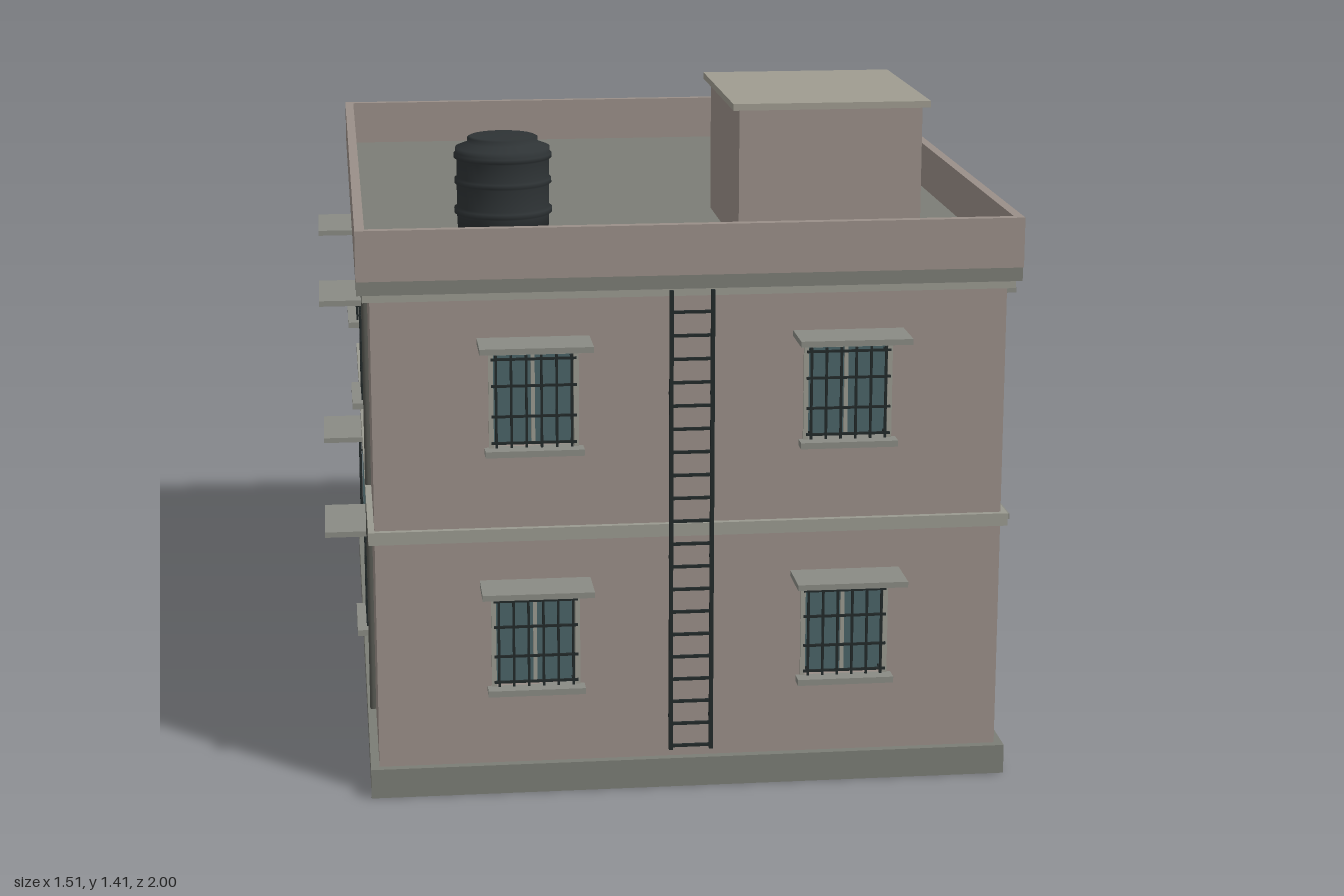
import * as THREE from 'three';

const mat = (color) => new THREE.MeshStandardMaterial({ color });
const M = {
  wall: mat(0x9a8f88), plinth: mat(0x7b7d75), slab: mat(0x8a8b84), trim: mat(0x9a9a90),
  cap: mat(0x9f9c90), roof: mat(0x7c7d76), glass: mat(0x4a6468), iron: mat(0x22292a),
  door: mat(0x6b4a30), pot: mat(0x7a5a44), tank: mat(0x2e3335), pipe: mat(0x555650),
};

const FRONT = 0.895, BACK = -0.8, SIDE = 0.655, MIDZ = (FRONT + BACK) / 2;
const STOREY = 0.515, WX = 0.325;

function add(parent, name, geo, material, x = 0, y = 0, z = 0) {
  const m = new THREE.Mesh(geo, material);
  m.name = name;
  m.position.set(x, y, z);
  parent.add(m);
  return m;
}

// box given by its limits on each axis
function box(parent, name, material, x0, x1, y0, y1, z0, z1) {
  return add(parent, name, new THREE.BoxGeometry(x1 - x0, y1 - y0, z1 - z0), material,
    (x0 + x1) / 2, (y0 + y1) / 2, (z0 + z1) / 2);
}

// upright cylinder between two heights
function rod(parent, name, material, r, x, z, y0, y1) {
  return add(parent, name, new THREE.CylinderGeometry(r, r, y1 - y0, 8), material, x, (y0 + y1) / 2, z);
}

// wall panel with rectangular openings [x centre, width, bottom, top]
function wallPanel(parent, name, z0, openings) {
  const rect = (P, x0, x1, y0, y1) => {
    const p = new P();
    p.moveTo(x0, y0).lineTo(x1, y0).lineTo(x1, y1).lineTo(x0, y1).closePath();
    return p;
  };
  const shape = rect(THREE.Shape, -SIDE, SIDE, 0.02, 1.07);
  for (const [x, w, y0, y1] of openings) shape.holes.push(rect(THREE.Path, x - w / 2, x + w / 2, y0, y1));
  add(parent, name, new THREE.ExtrudeGeometry(shape, { depth: 0.04, bevelEnabled: false }), M.wall, 0, 0, z0);
}

// window facing +z, wall surface at z = 0, y = 0 at the opening's bottom
function makeWindow(o) {
  const { w, h, canopyW, canopyD, canopyY, cols, recessed } = o;
  const g = new THREE.Group();
  g.name = 'window';
  const a = w / 2;
  if (recessed) box(g, 'glass', M.glass, -a, a, 0, h, -0.035, -0.022);
  else box(g, 'glassEdge', M.glass, -0.004, 0.004, 0.01, h - 0.01, -0.01, 0.009);
  if (recessed) {
    for (const s of [-1, 1]) box(g, 'frameSide', M.trim, s * a - 0.005, s * a + 0.005, 0, h, -0.03, 0.006);
    box(g, 'mullion', M.trim, -0.004, 0.004, 0, h, -0.024, -0.016);
  }
  box(g, 'frameTop', M.trim, -a - 0.01, a + 0.01, h - 0.004, h + 0.008, -0.02, 0.01);
  box(g, 'sill', M.slab, -a - 0.014, a + 0.014, -0.013, 0, -0.02, 0.036);
  box(g, 'canopy', M.slab, -canopyW / 2, canopyW / 2, canopyY, canopyY + 0.012, -0.01, canopyD);
  // grille
  for (let i = 0; i < cols; i++) {
    const x = -a + 0.01 + (w - 0.02) * i / (cols - 1);
    box(g, 'grilleBar', M.iron, x - 0.0025, x + 0.0025, 0.002, h - 0.004, 0.011, 0.016);
  }
  for (const t of [0.06, 0.34, 0.66, 0.94]) {
    box(g, 'grilleCrossbar', M.iron, -a, a, t * h - 0.0025, t * h + 0.0025, 0.011, 0.016);
  }
  for (const sx of [-1, 1]) for (const t of [0.06, 0.94]) {
    const x = sx * (a - 0.01);
    box(g, 'grilleAnchor', M.iron, x - 0.002, x + 0.002, t * h - 0.002, t * h + 0.002, -0.01, 0.012);
  }
  return g;
}

export function createModel() {
  const model = new THREE.Group();
  model.name = 'house';

  // body
  const body = new THREE.Group();
  body.name = 'body';
  model.add(body);
  const frontOpen = [], backOpen = [];
  for (const f of [0, 1]) {
    for (const s of [-1, 1]) {
      frontOpen.push([s * WX, 0.175, 0.233 + f * STOREY, 0.433 + f * STOREY]);
      if (f || s < 0) backOpen.push([s * WX, 0.22, 0.235 + f * STOREY, 0.445 + f * STOREY]);
    }
  }
  wallPanel(body, 'frontWall', FRONT - 0.04, frontOpen);
  wallPanel(body, 'backWall', BACK, [...backOpen, [WX, 0.16, 0.07, 0.425]]);
  box(body, 'core', M.wall, -SIDE, SIDE, 0.02, 1.07, BACK + 0.04, FRONT - 0.04);
  const band = (name, m, y0, y1, o) => box(body, name, m, -SIDE - o, SIDE + o, y0, y1, BACK - o, FRONT + o);
  band('plinth', M.plinth, 0, 0.063, 0.018);
  band('floorBand', M.trim, 0.55, 0.577, 0.013);
  band('cornice', M.trim, 1.06, 1.077, 0.015);
  band('roofSlab', M.roof, 1.077, 1.108, 0.026);

  // parapet
  const px = 0.682, z0 = -0.83, z1 = 0.925, t = 0.02;
  for (const s of [-1, 1]) {
    const x = s * (px - t / 2);
    box(model, 'parapetSide', M.wall, x - t / 2, x + t / 2, 1.106, 1.21, z0, z1);
  }
  box(model, 'parapetFront', M.wall, -px + t, px - t, 1.106, 1.21, z1 - t, z1);
  box(model, 'parapetBack', M.wall, -px + t, px - t, 1.106, 1.21, z0, z0 + t);

  // windows
  const place = (opts, x, y, z, ry) => {
    const g = makeWindow(opts);
    g.position.set(x, y, z);
    g.rotation.y = ry;
    model.add(g);
  };
  const frontWin = { w: 0.175, h: 0.2, canopyW: 0.23, canopyD: 0.105, canopyY: 0.219, cols: 6, recessed: true };
  const backWin = { w: 0.22, h: 0.21, canopyW: 0.275, canopyD: 0.107, canopyY: 0.232, cols: 7, recessed: true };
  const sideWin = { w: 0.165, h: 0.2, canopyW: 0.215, canopyD: 0.102, canopyY: 0.218, cols: 6, recessed: false };
  for (const f of [0, 1]) {
    const dy = f * STOREY;
    for (const s of [-1, 1]) {
      place(frontWin, s * WX, 0.233 + dy, FRONT, 0);
      if (f || s < 0) place(backWin, s * WX, 0.235 + dy, BACK, Math.PI);
      for (const z of [0.44, -0.355]) place(sideWin, s * SIDE, 0.24 + dy, z + s * 0.01, s * Math.PI / 2);
    }
  }

  // back door
  const door = new THREE.Group();
  door.name = 'door';
  model.add(door);
  box(door, 'doorLeaf', M.door, WX - 0.08, WX + 0.08, 0.063, 0.425, BACK + 0.015, BACK + 0.035);
  for (const s of [-1, 1]) {
    box(door, 'doorFrame', M.trim, WX + s * 0.083 - 0.007, WX + s * 0.083 + 0.007, 0.06, 0.432, BACK - 0.008, BACK + 0.03);
  }
  box(door, 'doorHead', M.trim, WX - 0.09, WX + 0.09, 0.42, 0.432, BACK - 0.008, BACK + 0.03);
  box(door, 'doorStep', M.slab, WX - 0.1, WX + 0.1, 0.045, 0.064, -0.842, BACK + 0.02);
  box(door, 'doorCanopy', M.slab, WX - 0.137, WX + 0.137, 0.443, 0.455, -0.907, BACK + 0.01);
  add(door, 'doorKnob', new THREE.SphereGeometry(0.007, 10, 8), M.iron, WX - 0.06, 0.24, BACK + 0.011);
  box(model, 'meterBox', M.slab, 0.435, 0.49, 0.215, 0.288, -0.826, BACK);

  // air conditioner
  const ac = new THREE.Group();
  ac.name = 'airConditioner';
  model.add(ac);
  box(ac, 'acCase', M.cap, WX - 0.068, WX + 0.068, 0.645, 0.725, -0.862, BACK - 0.012);
  const fan = add(ac, 'acFan', new THREE.CylinderGeometry(0.028, 0.028, 0.004, 20), M.iron, WX + 0.02, 0.685, -0.863);
  fan.rotation.x = Math.PI / 2;
  for (const s of [-1, 1]) {
    box(ac, 'acBracket', M.iron, WX + s * 0.05 - 0.004, WX + s * 0.05 + 0.004, 0.636, 0.645, -0.858, BACK);
  }

  // balcony
  const balcony = new THREE.Group();
  balcony.name = 'balcony';
  model.add(balcony);
  const bx0 = -0.54, bx1 = -0.115, bz = -0.983, r = 0.004;
  box(balcony, 'balconySlab', M.cap, -0.56, -0.1, 0.572, 0.595, -1, BACK);
  box(balcony, 'railFront', M.iron, bx0 - r, bx1 + r, 0.759, 0.768, bz - r, bz + r);
  box(balcony, 'railBottom', M.iron, bx0, bx1, 0.617, 0.623, bz - 0.003, bz + 0.003);
  for (const x of [bx0, bx1]) {
    box(balcony, 'railSide', M.iron, x - r, x + r, 0.759, 0.768, bz, BACK);
    box(balcony, 'railPost', M.iron, x - r, x + r, 0.595, 0.765, bz - r, bz + r);
  }
  for (let i = 1; i < 15; i++) rod(balcony, 'baluster', M.iron, 0.003, bx0 + (bx1 - bx0) * i / 15, bz, 0.618, 0.765);
  for (const x of [-0.527, -0.13]) box(balcony, 'planter', M.pot, x - 0.025, x + 0.025, 0.595, 0.642, -0.872, -0.822);

  // ladder
  const ladder = new THREE.Group();
  ladder.name = 'ladder';
  model.add(ladder);
  for (const x of [-0.044, 0.041]) {
    box(ladder, 'ladderRail', M.iron, x - 0.004, x + 0.004, 0.085, 1.073, 0.912, 0.922);
    for (const y of [0.15, 0.5, 0.85]) box(ladder, 'ladderBracket', M.iron, x - 0.003, x + 0.003, y, y + 0.006, FRONT, 0.914);
  }
  for (let i = 0; i < 20; i++) {
    const y = 0.093 + i * 0.0492;
    box(ladder, 'rung', M.iron, -0.044, 0.041, y - 0.003, y + 0.003, 0.914, 0.92);
  }

  // downpipes
  for (const s of [-1, 1]) rod(model, 'downpipe', M.pipe, 0.007, s * (SIDE + 0.006), 0.54, 0.06, 1.13);

  // stair head on the roof
  box(model, 'stairHead', M.wall, 0.13, 0.52, 1.1, 1.4, 0.195, 0.652);
  box(model, 'stairHeadCap', M.cap, 0.115, 0.535, 1.4, 1.414, 0.178, 0.667);

  // water tank
  const profile = [[0, 1.106], [0.098, 1.106], [0.1, 1.15], [0.106, 1.154], [0.106, 1.164], [0.1, 1.168],
    [0.1, 1.215], [0.105, 1.219], [0.105, 1.228], [0.1, 1.232], [0.1, 1.27], [0.106, 1.274], [0.106, 1.282],
    [0.102, 1.286], [0.102, 1.296], [0.076, 1.306], [0.076, 1.317], [0.07, 1.32], [0, 1.322]];
  add(model, 'waterTank', new THREE.LatheGeometry(profile.map(([a, b]) => new THREE.Vector2(a, b)), 40), M.tank, -0.355, 0, 0.435);

  return model;
}
